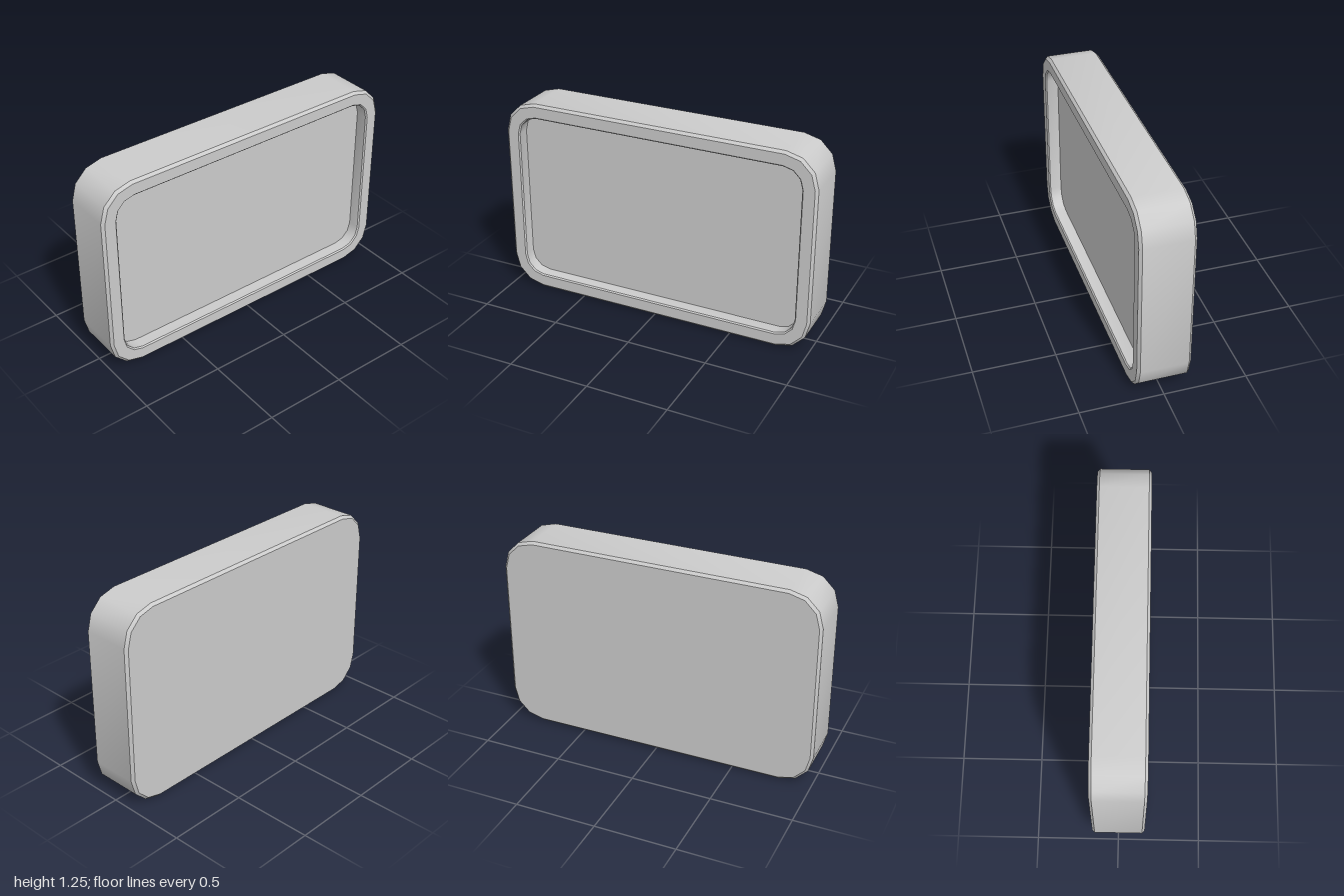
import * as THREE from 'three';
import { toCreasedNormals } from 'three/addons/utils/BufferGeometryUtils.js';

const MID_Y = 0.625, HALF_Z = 1, HALF_Y = 0.625;
const CORNER_STEPS = 3;
const RING = 4 * (CORNER_STEPS + 1);

// Rounded rectangle at depth x, counter-clockwise as seen from +x
function ring(x, inset, radius) {
  const points = [];
  const cz = HALF_Z - inset - radius, cy = HALF_Y - inset - radius;
  for (let q = 0; q < 4; q++) {
    const right = q === 0 || q === 3 ? 1 : -1;
    const up = q < 2 ? 1 : -1;
    for (let i = 0; i <= CORNER_STEPS; i++) {
      const a = (q + i / CORNER_STEPS) * Math.PI / 2;
      points.push(x, MID_Y + up * cy + radius * Math.sin(a), -(right * cz + radius * Math.cos(a)));
    }
  }
  return points;
}

function creased(positions, index) {
  const geometry = new THREE.BufferGeometry();
  geometry.setAttribute('position', new THREE.Float32BufferAttribute(positions, 3));
  geometry.setIndex(index);
  return toCreasedNormals(geometry, 0.6);
}

// Wall that joins successive rings
function skin(rings) {
  const index = [];
  for (let r = 0; r < rings.length - 1; r++) {
    for (let j = 0; j < RING; j++) {
      const k = (j + 1) % RING;
      const a = r * RING + j, b = r * RING + k;
      index.push(a, b, a + RING, b, b + RING, a + RING);
    }
  }
  return creased(rings.flat(), index);
}

// Flat panel filling one ring, facing +x or -x
function panel(points, facing) {
  const index = [];
  for (let j = 0; j < RING; j++) {
    const k = (j + 1) % RING;
    if (facing > 0) index.push(RING, j, k);
    else index.push(RING, k, j);
  }
  return creased([...points, points[0], MID_Y, 0], index);
}

export function createModel() {
  const group = new THREE.Group();
  const material = new THREE.MeshStandardMaterial({ color: 0xcccccc });
  const add = (name, geometry) => {
    const mesh = new THREE.Mesh(geometry, material);
    mesh.name = name;
    group.add(mesh);
  };

  const back = ring(-0.16, 0.016, 0.186);
  const floor = ring(0.08, 0.092, 0.118);

  // Chamfered outer wall, rim and inner wall of the recess
  add('frame', skin([
    back,
    ring(-0.144, 0, 0.2),
    ring(0.144, 0, 0.2),
    ring(0.16, 0.016, 0.186),
    ring(0.16, 0.084, 0.126),
    ring(0.152, 0.092, 0.118),
    floor,
  ]));
  add('backPanel', panel(back, -1));
  add('recessedPanel', panel(floor, 1));
  return group;
}
